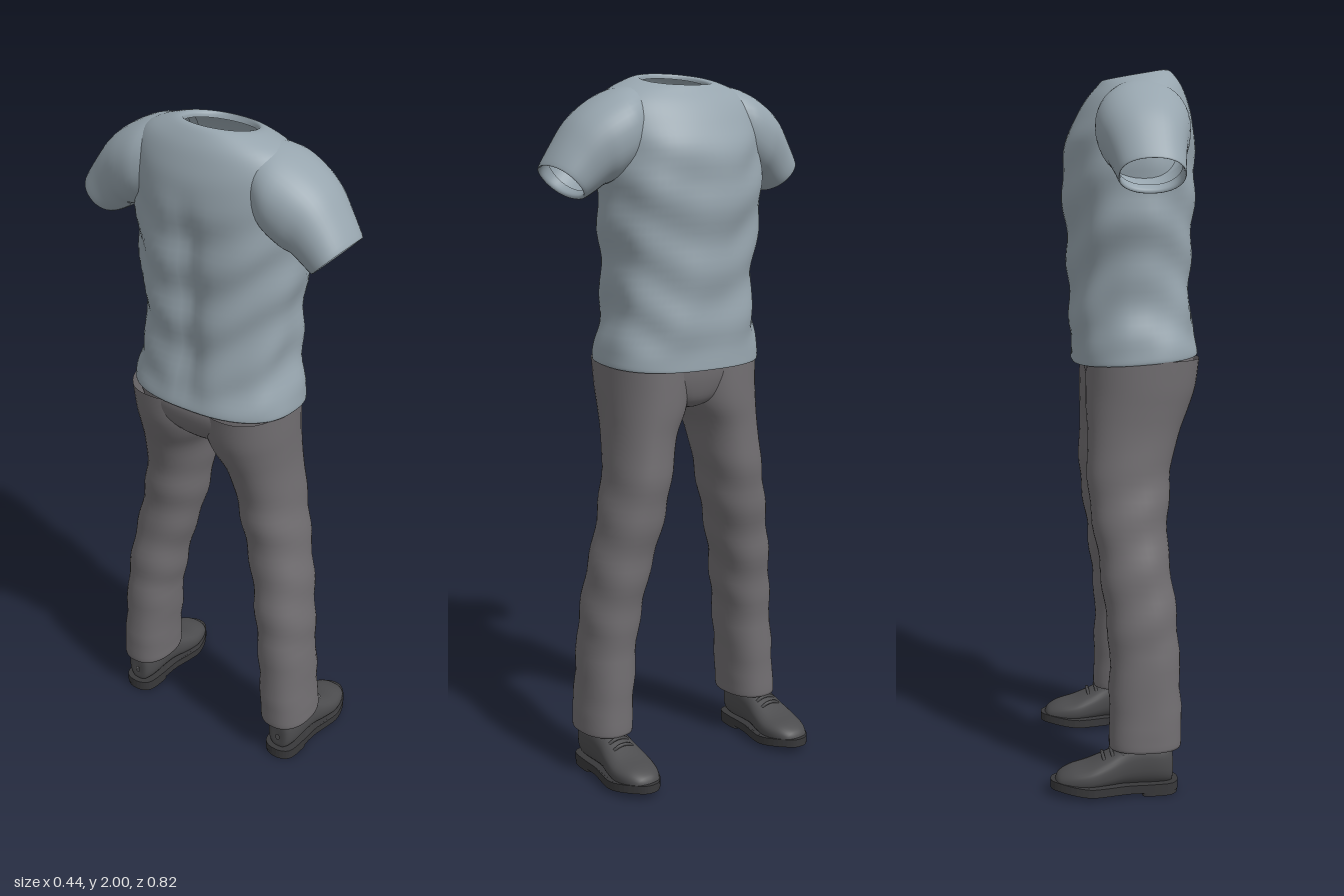
import * as THREE from 'three';

const material = (name, color) => {
  const m = new THREE.MeshStandardMaterial({ color, side: THREE.DoubleSide });
  m.name = name;
  return m;
};

// Smooth curve through rows of numbers, component by component
function smoothRows(rows, steps) {
  const out = [];
  const at = i => rows[Math.max(0, Math.min(rows.length - 1, i))];
  for (let i = 0; i < rows.length - 1; i++) {
    for (let k = 0; k < steps; k++) {
      const t = k / steps;
      out.push(rows[i].map((b, c) => {
        const a = at(i - 1)[c], d = at(i + 1)[c], e = at(i + 2)[c];
        return 0.5 * (2 * b + (d - a) * t + (2 * a - 5 * b + 4 * d - e) * t * t + (3 * b - a - 3 * d + e) * t * t * t);
      }));
    }
  }
  out.push(rows[rows.length - 1]);
  return out;
}

// Loft of superellipse sections { c, u, v, e }: centre, two half axes, exponent
function loft(sections, sides, bump) {
  const pos = [], index = [], first = sections[0], last = sections[sections.length - 1];
  const facing = first.u.clone().cross(first.v).dot(last.c.clone().sub(first.c));
  const power = (n, e) => Math.sign(n) * Math.pow(Math.abs(n), 2 / e);
  sections.forEach(({ c, u, v, e }, i) => {
    for (let j = 0; j < sides; j++) {
      const t = j / sides * Math.PI * 2;
      const r = u.clone().multiplyScalar(power(Math.cos(t), e)).addScaledVector(v, power(Math.sin(t), e));
      const p = c.clone().add(r);
      if (bump) p.addScaledVector(r.normalize(), bump(p, t));
      pos.push(p.x, p.y, p.z);
      if (i === sections.length - 1) continue;
      const a = i * sides + j, b = i * sides + (j + 1) % sides;
      if (facing > 0) index.push(a, b, a + sides, b, b + sides, a + sides);
      else index.push(a, a + sides, b, b, a + sides, b + sides);
    }
  });
  const g = new THREE.BufferGeometry();
  g.setAttribute('position', new THREE.Float32BufferAttribute(pos, 3));
  g.setIndex(index);
  g.computeVertexNormals();
  return g;
}

const vec = (x, y, z) => new THREE.Vector3(x, y, z);
const smooth = (a, b, x) => THREE.MathUtils.smoothstep(x, a, b);

// Rows [y, xBack, xFront, z0, z1, exponent, tilt] stacked upwards
const upright = (rows, steps = 4) => smoothRows(rows, steps).map(([y, x0, x1, z0, z1, e, tilt]) => ({
  c: vec((x0 + x1) / 2, y, (z0 + z1) / 2), u: vec((x1 - x0) / 2, tilt, 0), v: vec(0, 0, (z1 - z0) / 2), e
}));

export function createModel() {
  const model = new THREE.Group();
  model.name = 'outfit';
  const shirt = material('shirt blue grey', 0x97a5ae);
  const cloth = material('trouser grey', 0x716e71);
  const leather = material('shoe leather', 0x4c4c4e);
  const rubber = material('sole rubber', 0x38383a);
  const add = (name, geometry, mat, parent = model) => {
    const m = new THREE.Mesh(geometry, mat);
    m.name = name;
    parent.add(m);
    return m;
  };

  // Shirt body from hem to open neckline, with soft folds and a spine hollow
  const folds = (p, t) => {
    const body = smooth(1.21, 1.3, p.y) * (1 - smooth(1.7, 1.88, p.y));
    const spine = Math.exp(-p.z * p.z / 0.0015) * (p.x < -0.05 ? 1 : 0);
    return body * (0.005 * Math.sin(p.y * 38 + 2.5 * Math.cos(t * 2)) + 0.004 * Math.sin(t * 7 + p.y * 9) - 0.018 * spine);
  };
  add('shirtBody', loft(upright([
    [1.215, -0.205, 0.13, -0.235, 0.225, 2.5, -0.012],
    [1.203, -0.215, 0.14, -0.25, 0.24, 2.5, -0.012],
    [1.23, -0.213, 0.14, -0.25, 0.24, 2.5, -0.01],
    [1.31, -0.2, 0.142, -0.236, 0.225, 2.4, 0],
    [1.4, -0.198, 0.145, -0.222, 0.218, 2.3, 0],
    [1.5, -0.198, 0.148, -0.233, 0.225, 2.2, 0],
    [1.6, -0.2, 0.155, -0.247, 0.235, 2.2, 0],
    [1.7, -0.205, 0.165, -0.252, 0.245, 2.1, 0],
    [1.8, -0.205, 0.155, -0.25, 0.247, 2.1, 0],
    [1.87, -0.197, 0.125, -0.25, 0.248, 2.1, 0],
    [1.92, -0.183, 0.095, -0.238, 0.236, 2.1, 0],
    [1.957, -0.165, 0.068, -0.2, 0.198, 2.1, -0.005],
    [1.982, -0.14, 0.053, -0.135, 0.132, 2.1, -0.013],
    [1.983, -0.122, 0.05, -0.105, 0.102, 2.1, -0.017],
    [1.97, -0.118, 0.045, -0.1, 0.097, 2.1, -0.017]
  ]), 72, folds), shirt);

  // Sleeves: rows [zTop, yTop, zBottom, yBottom, xBack, xFront], ending in a turned cuff
  const sleeveRows = [
    [0.12, 1.975, 0.13, 1.78, -0.13, 0.04],
    [0.2, 1.96, 0.19, 1.74, -0.165, 0.085],
    [0.27, 1.928, 0.235, 1.71, -0.163, 0.085],
    [0.33, 1.882, 0.262, 1.7, -0.15, 0.07],
    [0.375, 1.822, 0.288, 1.682, -0.142, 0.054],
    [0.41, 1.765, 0.317, 1.667, -0.138, 0.042],
    [0.402, 1.765, 0.32, 1.677, -0.131, 0.036],
    [0.38, 1.79, 0.305, 1.69, -0.13, 0.04]
  ];
  for (const [side, s] of [['left', 1], ['right', -1]]) {
    add(side + 'Sleeve', loft(smoothRows(sleeveRows, 4).map(([zt, yt, zb, yb, x0, x1]) => ({
      c: vec((x0 + x1) / 2, (yt + yb) / 2, s * (zt + zb) / 2),
      u: vec(0, (yt - yb) / 2, s * (zt - zb) / 2),
      v: vec((x1 - x0) / 2, 0, 0), e: 2.2
    })), 40), shirt);
  }

  // Trouser seat, closed underneath at the crotch
  add('trouserSeat', loft(upright([
    [1.068, -0.05, 0.03, -0.015, 0.01, 2, 0],
    [1.075, -0.1, 0.06, -0.06, 0.055, 2.1, 0],
    [1.1, -0.16, 0.085, -0.14, 0.135, 2.2, 0],
    [1.15, -0.198, 0.1, -0.215, 0.21, 2.3, 0],
    [1.2, -0.208, 0.105, -0.238, 0.232, 2.4, 0],
    [1.24, -0.195, 0.105, -0.238, 0.228, 2.4, 0]
  ]), 48), cloth);

  // Trouser legs, z measured outwards from the middle
  const legRows = [
    [0.16, -0.13, 0.045, 0.205, 0.325, 2.2, 0],
    [0.13, -0.143, 0.058, 0.19, 0.34, 2.3, 0],
    [0.2, -0.145, 0.058, 0.186, 0.337, 2.3, 0],
    [0.4, -0.14, 0.056, 0.168, 0.325, 2.2, 0],
    [0.5, -0.134, 0.065, 0.153, 0.316, 2.2, 0],
    [0.6, -0.123, 0.076, 0.135, 0.303, 2.2, 0],
    [0.7, -0.112, 0.088, 0.108, 0.285, 2.2, 0],
    [0.8, -0.118, 0.104, 0.088, 0.265, 2.2, 0],
    [0.9, -0.125, 0.11, 0.07, 0.249, 2.2, 0],
    [1.0, -0.15, 0.107, 0.05, 0.24, 2.2, 0],
    [1.07, -0.178, 0.11, 0.014, 0.239, 2.2, 0],
    [1.13, -0.198, 0.11, 0.0, 0.24, 2.2, 0],
    [1.21, -0.208, 0.108, 0.0, 0.24, 2.3, 0]
  ];
  const creases = (p, t) => 0.003 * Math.sin(p.y * 42 + 2 * Math.cos(t)) * smooth(0.15, 0.25, p.y) * (1 - smooth(0.8, 1, p.y));
  // Shoe upper: rows [x, yLow, yHigh, halfWidth] from heel to toe
  const upperRows = [
    [-0.118, 0.06, 0.08, 0.006],
    [-0.115, 0.03, 0.135, 0.033],
    [-0.08, 0.025, 0.155, 0.048],
    [-0.02, 0.025, 0.155, 0.05],
    [0.025, 0.025, 0.136, 0.053],
    [0.07, 0.02, 0.112, 0.062],
    [0.12, 0.016, 0.09, 0.067],
    [0.17, 0.015, 0.077, 0.056],
    [0.202, 0.016, 0.06, 0.036],
    [0.212, 0.02, 0.04, 0.008]
  ];
  // Half outline of the sole as [x, halfWidth]
  const soleEdge = [[-0.132, 0.02], [-0.115, 0.044], [-0.06, 0.053], [0.01, 0.056], [0.07, 0.069],
    [0.115, 0.075], [0.165, 0.063], [0.205, 0.038], [0.222, 0.016]];
  const outline = pts => new THREE.Shape(new THREE.CatmullRomCurve3([
    ...pts.map(([x, w]) => vec(x, w, 0)), ...pts.slice().reverse().map(([x, w]) => vec(x, -w, 0))
  ], true).getPoints(56).map(p => new THREE.Vector2(p.x, p.y)));
  const slab = (pts, y, depth, rise) => {
    const g = new THREE.ExtrudeGeometry(outline(pts), { depth, bevelEnabled: false });
    g.rotateX(-Math.PI / 2).translate(0, y, 0);
    const p = g.attributes.position;
    for (let i = 0; i < p.count; i++) p.setY(i, p.getY(i) + rise * smooth(0.1, 0.22, p.getX(i)));
    g.computeVertexNormals();
    return g;
  };

  for (const [side, s] of [['left', 1], ['right', -1]]) {
    const rows = legRows.map(([y, x0, x1, a, b, e, tilt]) => [y, x0, x1, s * a - 0.008, s * b - 0.008, e, tilt]);
    add(side + 'TrouserLeg', loft(upright(rows), 40, creases), cloth);

    const shoe = new THREE.Group();
    shoe.name = side + 'Shoe';
    shoe.position.z = s * 0.272 - 0.01;
    model.add(shoe);
    add('shoeUpper', loft(smoothRows(upperRows, 4).map(([x, y0, y1, w]) => ({
      c: vec(x, (y0 + y1) / 2, 0), u: vec(0, (y1 - y0) / 2, 0), v: vec(0, 0, w), e: 2.4
    })), 32), leather, shoe);
    add('sole', slab(soleEdge, 0.01, 0.024, 0.01), rubber, shoe);
    add('heel', slab([[-0.13, 0.02], [-0.112, 0.044], [-0.07, 0.052], [-0.035, 0.05], [-0.03, 0.03]], 0, 0.02, 0), rubber, shoe);
    // Laces across the instep
    for (let k = 0; k < 3; k++) {
      const x = 0.03 + k * 0.024, y = 0.138 - k * 0.0115;
      const path = new THREE.CatmullRomCurve3([vec(x - 0.006, y - 0.022, -0.04), vec(x, y - 0.003, -0.018),
        vec(x, y - 0.003, 0.018), vec(x - 0.006, y - 0.022, 0.04)]);
      add('lace', new THREE.TubeGeometry(path, 12, 0.005, 6), leather, shoe);
    }
  }
  return model;
}
